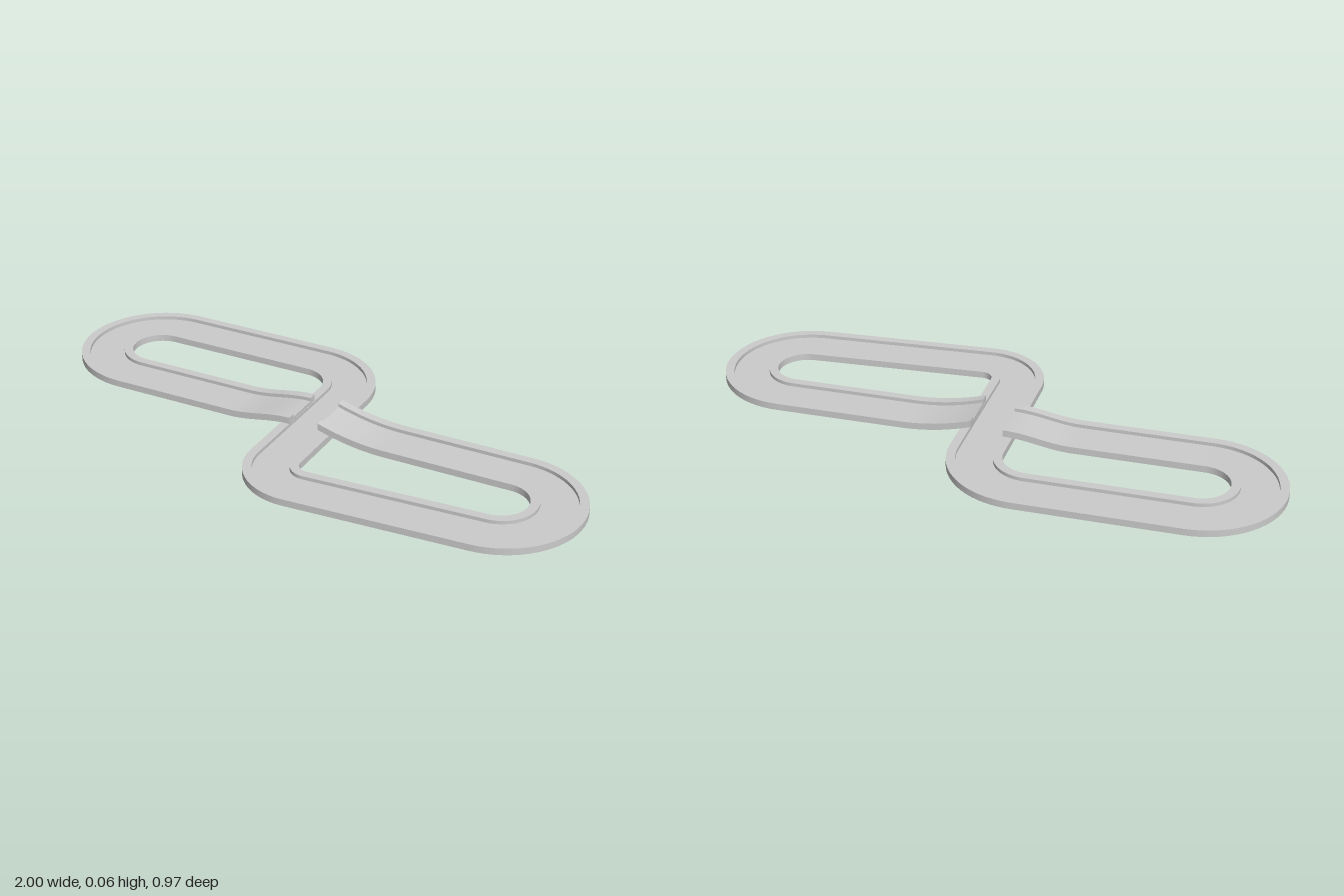
import * as THREE from 'three';
import { toCreasedNormals } from 'three/addons/utils/BufferGeometryUtils.js';

const HALF = 0.09, RAIL = 0.03, TOP = 0.023, ROAD = 0.011;

// Channel cross-section: flat deck with a raised rail on each side (counter-clockwise)
const profile = [
  [-HALF, 0], [HALF, 0], [HALF, TOP], [HALF - RAIL, TOP], [HALF - RAIL, ROAD],
  [-HALF + RAIL, ROAD], [-HALF + RAIL, TOP], [-HALF, TOP],
].map(([u, y]) => new THREE.Vector2(u, y));

// Arc of the centreline in plan; angles in degrees, 90 points towards +z
function arc(cx, cz, r, from, to, steps) {
  return Array.from({ length: steps + 1 }, (_, i) => {
    const a = THREE.MathUtils.degToRad(from + (to - from) * i / steps);
    return new THREE.Vector3(cx + r * Math.cos(a), 0, cz + r * Math.sin(a));
  });
}

// Straight ramp along x, lifted by the given easing (t = 0 at the ground, 1 at the tip)
function ramp(xGround, xTip, z, height, ease, steps = 12) {
  return Array.from({ length: steps + 1 }, (_, i) => {
    const t = i / steps;
    return new THREE.Vector3(xGround + (xTip - xGround) * t, height * ease(t), z);
  });
}

// Sweep the cross-section along the path, keeping it upright, and close both ends
function sweep(path) {
  const dir = (a, b) => new THREE.Vector3(b.x - a.x, 0, b.z - a.z).normalize();
  const last = path.length - 1;
  const rings = path.map((p, i) => {
    const before = dir(path[Math.max(i - 1, 0)], path[Math.max(i, 1)]);
    const after = dir(path[Math.min(i, last - 1)], path[Math.min(i + 1, last)]);
    const t = before.add(after).normalize();
    return profile.map(({ x: u, y }) => [p.x - t.z * u, p.y + y, p.z + t.x * u]);
  });

  const pos = [];
  const tri = (a, b, c) => pos.push(...a, ...b, ...c);
  for (let i = 0; i < last; i++) {
    const a = rings[i], b = rings[i + 1];
    for (let j = 0; j < profile.length; j++) {
      const k = (j + 1) % profile.length;
      tri(a[j], b[j], b[k]);
      tri(a[j], b[k], a[k]);
    }
  }
  for (const [a, b, c] of THREE.ShapeUtils.triangulateShape(profile, [])) {
    tri(rings[0][a], rings[0][b], rings[0][c]);
    tri(rings[last][a], rings[last][c], rings[last][b]);
  }
  const geo = new THREE.BufferGeometry();
  geo.setAttribute('position', new THREE.Float32BufferAttribute(pos, 3));
  return toCreasedNormals(geo, Math.PI / 6);
}

export function createModel() {
  const group = new THREE.Group();
  group.name = 'raceTrack';
  const material = new THREE.MeshStandardMaterial({ color: 0xcccccc });

  // Left ramp levels off at its tip, right ramp kicks up
  const landing = ramp(-0.29, -0.06, -0.025, 0.027, t => Math.sin(t * Math.PI / 2) ** 2).reverse();
  const takeoff = ramp(0.29, 0.05, -0.015, 0.039, t => t * t);

  const path = [
    ...landing,
    ...arc(-0.7225, -0.2125, 0.1875, 90, 270, 32), // left hairpin
    ...arc(-0.19, -0.21, 0.19, 270, 360, 16),      // back corner
    ...arc(0.125, 0.26, 0.13, 180, 87, 14),        // front corner, after the jump gap crossing
    ...arc(0.725, 0.17, 0.185, 87, -90, 32),       // right hairpin
    ...takeoff,
  ];

  const track = new THREE.Mesh(sweep(path), material);
  track.name = 'track';
  group.add(track);
  return group;
}
